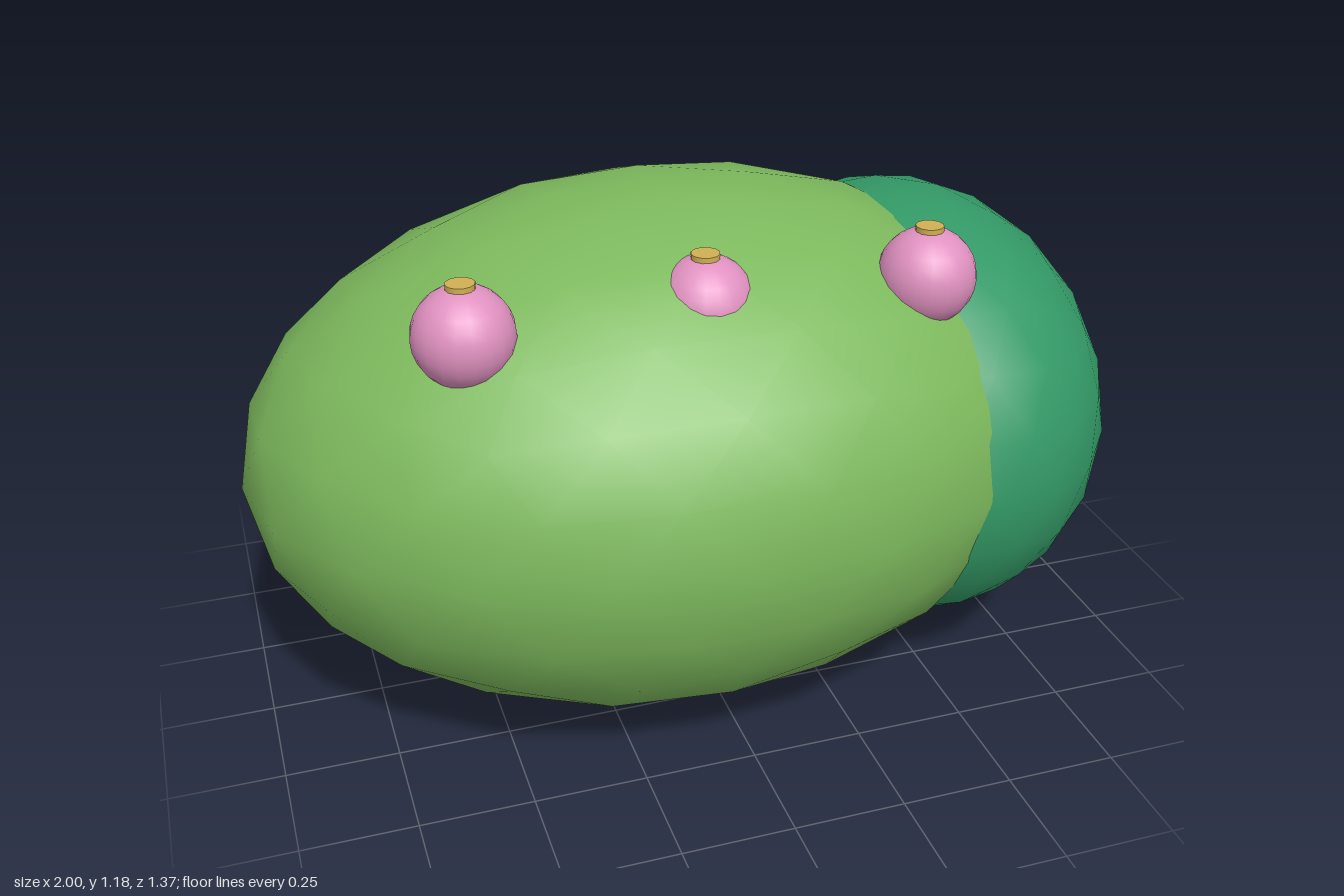
import * as THREE from 'three';

const paint = (color) => new THREE.MeshStandardMaterial({ color });

// Low-poly ellipsoid with smooth normals and a vertex at its top
function ellipsoid(name, radii, centre, material) {
  const geometry = new THREE.IcosahedronGeometry(1, 3);
  geometry.rotateX(Math.atan((1 + Math.sqrt(5)) / 2));
  geometry.scale(...radii);
  const mesh = new THREE.Mesh(geometry, material);
  mesh.name = name;
  mesh.position.set(...centre);
  return mesh;
}

export function createModel() {
  const model = new THREE.Group();
  model.name = 'cactusBody';

  const lightGreen = paint(0x7cb85c);
  const darkGreen = paint(0x339966);
  const pink = paint(0xe091c0);
  const gold = paint(0xd0b055);

  // Large body and the darker lobe that overlaps its left end
  model.add(ellipsoid('body', [0.942, 0.588, 0.687], [-0.06, 0.588, 0], lightGreen));
  model.add(ellipsoid('sideLobe', [0.47, 0.508, 0.592], [0.53, 0.572, -0.04], darkGreen));

  // Row of round buds along the front of the top, each with a small flat cap
  const budGeometry = new THREE.SphereGeometry(0.105, 20, 14);
  const capGeometry = new THREE.CylinderGeometry(0.03, 0.03, 0.025, 12);
  for (const x of [-0.555, -0.06, 0.43]) {
    const bud = new THREE.Group();
    bud.name = 'bud';
    bud.position.set(x, 1.025, 0.314);

    const ball = new THREE.Mesh(budGeometry, pink);
    ball.name = 'budBall';
    const cap = new THREE.Mesh(capGeometry, gold);
    cap.name = 'budCap';
    cap.position.y = 0.099;

    bud.add(ball, cap);
    model.add(bud);
  }
  return model;
}
